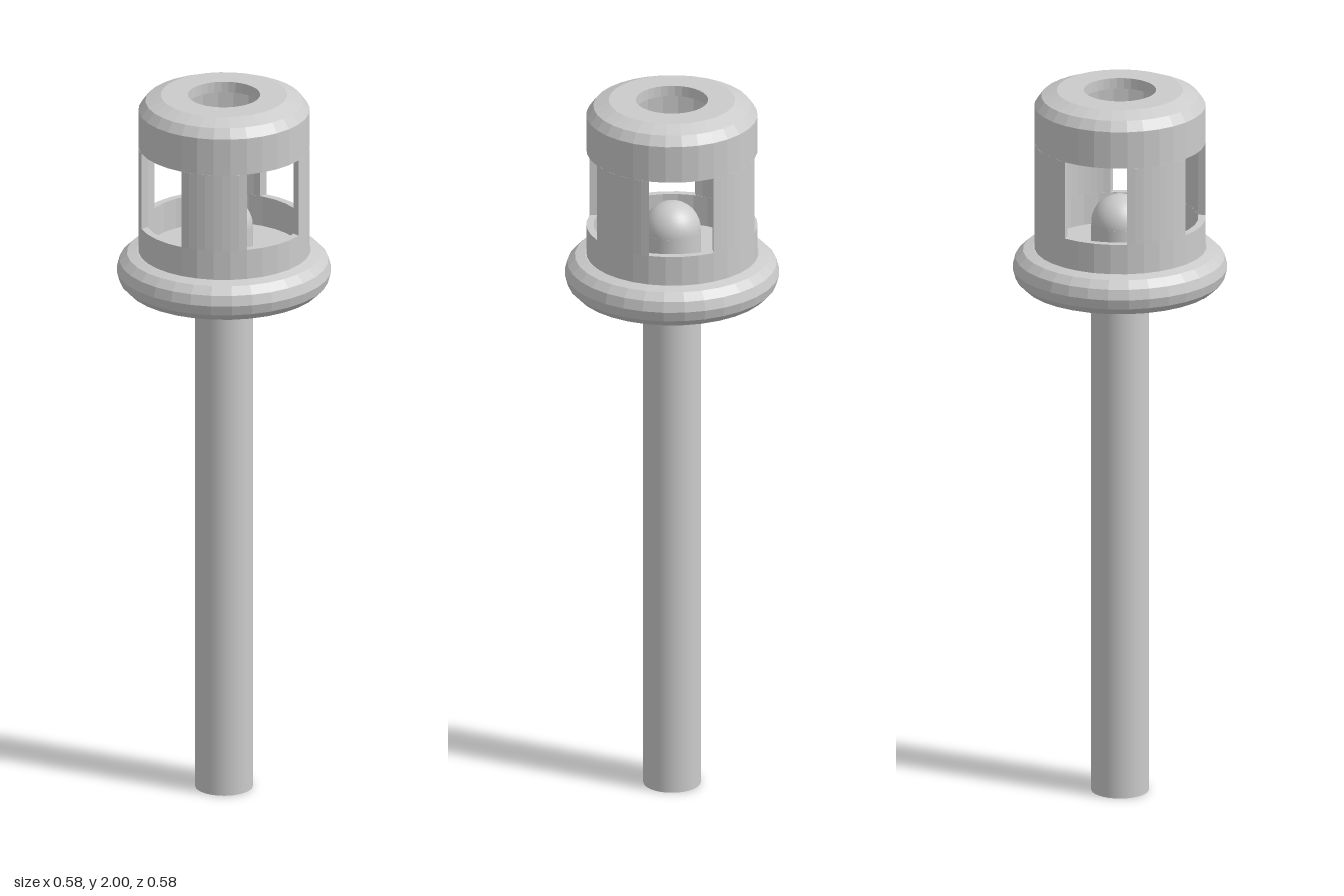
import * as THREE from 'three';

const SIDES = 32;
const OUTER = 0.232, INNER = 0.212;          // cage wall radii
const SILL = 1.635, LINTEL = 1.853;          // window bottom and top
const HALF_WINDOW = 0.088;

const smooth = new THREE.MeshStandardMaterial({ color: 0xcccccc });
const faceted = new THREE.MeshStandardMaterial({ color: 0xcccccc, flatShading: true });

function add(parent, name, geometry, material) {
  const mesh = new THREE.Mesh(geometry, material);
  mesh.name = name;
  parent.add(mesh);
  return mesh;
}

// Closed profile of [radius, height] pairs, counter-clockwise
function lathe(profile) {
  return new THREE.LatheGeometry(profile.map(([r, y]) => new THREE.Vector2(r, y)), SIDES);
}

// Curved wall section between two windows; its sides are parallel to the window axes
function pillarGeometry() {
  const a = Math.asin(HALF_WINDOW / OUTER), b = Math.asin(HALF_WINDOW / INNER);
  const shape = new THREE.Shape();
  shape.absarc(0, 0, OUTER, a, Math.PI / 2 - a, false);
  shape.absarc(0, 0, INNER, Math.PI / 2 - b, b, true);
  shape.closePath();
  return new THREE.ExtrudeGeometry(shape, {
    depth: LINTEL - SILL, bevelEnabled: false, curveSegments: 4,
  }).rotateX(-Math.PI / 2);
}

export function createModel() {
  const model = new THREE.Group();
  model.name = 'lanternPost';

  // Post with a rounded top inside the cage
  add(model, 'post', new THREE.CylinderGeometry(0.078, 0.078, 1.62, 48), smooth).position.y = 0.81;
  add(model, 'dome', new THREE.SphereGeometry(0.078, 32, 20), smooth).position.y = 1.622;

  // Ring around the foot of the cage
  const ring = add(model, 'baseRing', new THREE.TorusGeometry(0.235, 0.056, 12, SIDES), faceted);
  ring.rotation.x = Math.PI / 2;
  ring.position.y = 1.496;

  const cage = new THREE.Group();
  cage.name = 'cage';
  model.add(cage);

  // Floor and low wall below the windows
  add(cage, 'cageBase', lathe([
    [0, 1.48], [OUTER, 1.48], [OUTER, SILL], [INNER, SILL], [INNER, 1.55], [0, 1.55],
  ]), faceted);

  // Four pillars leave four windows
  const pillar = pillarGeometry();
  for (let i = 0; i < 4; i++) {
    const mesh = add(cage, 'pillar', pillar, faceted);
    mesh.position.y = SILL;
    mesh.rotation.y = i * Math.PI / 2;
  }

  // Rounded cap with a round opening
  add(cage, 'cap', lathe([
    [INNER, LINTEL], [OUTER, LINTEL], [OUTER, 1.957], [0.213, 1.983], [0.171, 2],
    [0.098, 2], [0.098, 1.97], [0.16, 1.97], [INNER, 1.945], [INNER, LINTEL],
  ]), faceted);

  return model;
}
